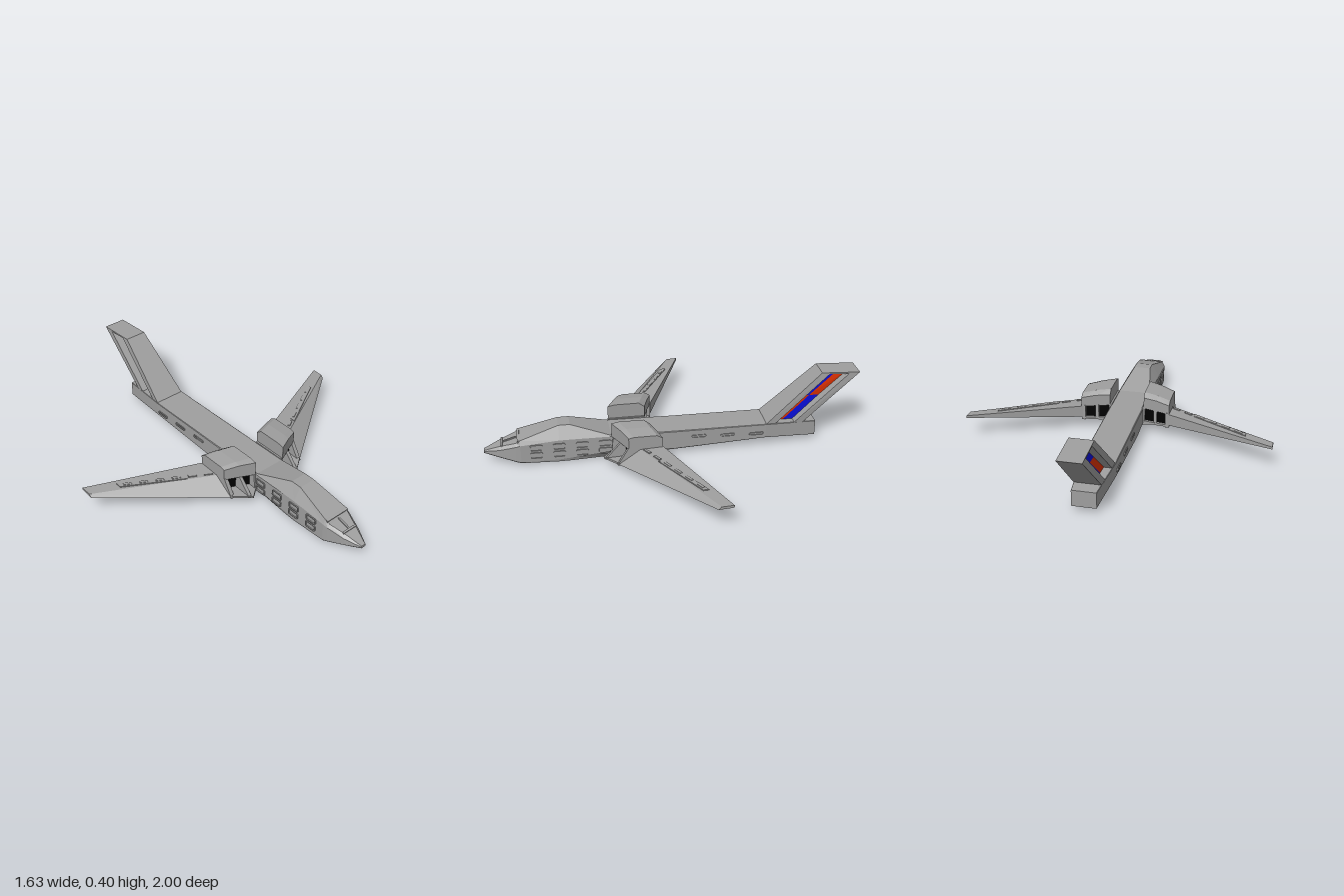
import * as THREE from 'three';

const GREY = 0x9f9f9f, BLACK = 0x000000, RED = 0xe23200, BLUE = 0x0a10e0;
const mats = {};
const mat = (color) => (mats[color] ??= new THREE.MeshStandardMaterial({ color, flatShading: true }));
const lerp = THREE.MathUtils.lerp;

// Closed flat-shaded solid through a row of rings, each a list of [x, y, z]
function loft(name, rings, color = GREY) {
  const tris = [], n = rings[0].length;
  for (let r = 0; r < rings.length - 1; r++) {
    for (let i = 0; i < n; i++) {
      const j = (i + 1) % n, a = rings[r], b = rings[r + 1];
      tris.push([a[i], a[j], b[j]], [a[i], b[j], b[i]]);
    }
  }
  const first = rings[0], last = rings[rings.length - 1];
  for (let i = 1; i < n - 1; i++) {
    tris.push([first[0], first[i + 1], first[i]], [last[0], last[i], last[i + 1]]);
  }
  // The signed volume tells whether the faces point outwards
  let volume = 0;
  for (const [a, b, c] of tris) {
    volume += a[0] * (b[1] * c[2] - b[2] * c[1]) + a[1] * (b[2] * c[0] - b[0] * c[2])
      + a[2] * (b[0] * c[1] - b[1] * c[0]);
  }
  const pos = tris.flatMap(([a, b, c]) => (volume < 0 ? [a, c, b] : [a, b, c])).flat();
  const geo = new THREE.BufferGeometry();
  geo.setAttribute('position', new THREE.Float32BufferAttribute(pos, 3));
  geo.computeVertexNormals();
  const mesh = new THREE.Mesh(geo, mat(color));
  mesh.name = name;
  return mesh;
}

function box(name, w, h, d, x, y, z) {
  const mesh = new THREE.Mesh(new THREE.BoxGeometry(w, h, d), mat(GREY));
  mesh.position.set(x, y, z);
  mesh.name = name;
  return mesh;
}

// Thin frame with clipped corners, lying against the side of the hull
function sideFrame(name, w, h, x, y, z) {
  const outline = (a, b, c) => [[a, b - c], [a - c, b], [c - a, b], [-a, b - c], [-a, c - b], [c - a, -b],
    [a - c, -b], [a, c - b]].map(([u, v]) => new THREE.Vector2(u, v));
  const shape = new THREE.Shape(outline(w / 2, h / 2, 0.006));
  shape.holes.push(new THREE.Path(outline(w / 2 - 0.005, h / 2 - 0.005, 0.003)));
  const geo = new THREE.ExtrudeGeometry(shape, { depth: 0.01, bevelEnabled: false });
  geo.translate(0, 0, -0.005).rotateY(Math.PI / 2);
  const mesh = new THREE.Mesh(geo, mat(GREY));
  mesh.position.set(x, y, z);
  mesh.name = name;
  return mesh;
}

// Fuselage stations: z, top half-width, top, side half-width, shoulder, low edge, belly half-width, belly
const STATIONS = [
  [1, 0.012, 0.07, 0.015, 0.066, 0.06, 0.012, 0.056],
  [0.92, 0.036, 0.1, 0.052, 0.085, 0.046, 0.045, 0.04],
  [0.835, 0.064, 0.126, 0.078, 0.11, 0.025, 0.073, 0.02],
  [0.81, 0.07, 0.143, 0.083, 0.118, 0.02, 0.079, 0.014],
  [0.61, 0.046, 0.203, 0.086, 0.135, 0.022, 0.083, 0.009],
  [0.55, 0.046, 0.203, 0.087, 0.136, 0.028, 0.08, 0.008],
  [0.34, 0.085, 0.141, 0.09, 0.136, 0.05, 0.06, 0.004],
  [0.15, 0.086, 0.138, 0.09, 0.134, 0.05, 0.07, 0.015],
  [0, 0.086, 0.136, 0.09, 0.133, 0.036, 0.085, 0.028],
  [-0.49, 0.086, 0.133, 0.088, 0.131, 0.057, 0.086, 0.053],
  [-0.77, 0.06, 0.117, 0.062, 0.115, 0.036, 0.06, 0.033],
];

function fuselage() {
  const g = new THREE.Group();
  g.name = 'fuselage';
  g.add(loft('hull', STATIONS.map(([z, tw, top, sw, sh, low, bw, bot]) => {
    const half = [[tw, top], [sw, sh], [sw, low], [bw, bot]];
    const other = half.map(([x, y]) => [-x, y]).reverse();
    return [...half, ...other].map(([x, y]) => [x, y, z]);
  })));
  for (const s of [1, -1]) {
    // Two rows of cabin windows ahead of the wing
    for (let i = 0; i < 4; i++) {
      const z = 0.73 - i * 0.119;
      const x = s * lerp(0.084, 0.09, (0.81 - z) / 0.47);
      for (const y of [0.1, 0.056]) g.add(sideFrame('cabinWindow', 0.065, 0.036, x, y, z));
    }
    // Long slots along the rear body
    for (let i = 0; i < 3; i++) {
      g.add(sideFrame('rearSlot', 0.08, 0.018, s * 0.0885, 0.095 - i * 0.007, -0.125 - i * 0.157));
    }
  }
  // Windscreen frame on the nose: brow, sill and centre bar
  for (const [name, w, d, y, z] of [
    ['windscreenBrow', 0.14, 0.012, 0.136, 0.818], ['windscreenSill', 0.086, 0.01, 0.105, 0.905],
    ['windscreenBar', 0.01, 0.08, 0.116, 0.868],
  ]) {
    const part = box(name, w, 0.012, d, 0, y, z);
    part.rotation.x = 0.3;
    g.add(part);
  }
  return g;
}

// Slab of the swept fin: d runs back from its front edge, t from base to tip
function finSlab(name, d0, d1, t0, t1, inset, color) {
  const ring = (t) => {
    const p = (side, d) => {
      const z = lerp(-0.49, -0.79, t) - d;
      const w = lerp(0.086, 0.06, THREE.MathUtils.clamp((-0.49 - z) / 0.3, 0, 1)) - inset;
      return [side * w, lerp(0.13, 0.4, t) - d * 0.05, z];
    };
    return [p(1, d0), p(1, d1), p(-1, d1), p(-1, d0)];
  };
  return loft(name, [ring(t0), ring(t1)], color);
}

function tailFin() {
  const g = new THREE.Group();
  g.name = 'tailFin';
  g.add(finSlab('finFront', 0, 0.05, -0.03, 1, 0));
  g.add(finSlab('finRear', 0.157, 0.208, -0.03, 1, 0));
  g.add(finSlab('finCap', 0.05, 0.157, 0.97, 1, 0));
  // Recessed chequered stripes
  [[RED, BLUE], [BLUE, RED]].forEach((row, i) => row.forEach((color, j) => {
    const d = 0.05 + j * 0.0535, t = i ? 0.48 : -0.03;
    g.add(finSlab('finStripe', d, d + 0.0535, t, i ? 0.97 : 0.48, 0.042, color));
  }));
  return g;
}

function wing(s) {
  const g = new THREE.Group();
  g.name = s > 0 ? 'leftWing' : 'rightWing';
  // Cross-section given as [z, y] corners at a distance x from the middle
  const at = (x, pts) => pts.map(([z, y]) => [s * x, y, z]);

  g.add(loft('wingPanel', [
    at(0.228, [[0.33, 0.054], [0.215, 0.134], [0.094, 0.14], [0.094, 0.075]]),
    at(0.815, [[-0.08, 0.115], [-0.095, 0.13], [-0.155, 0.133], [-0.155, 0.12]]),
  ]));
  // Floor under the engine duct, coming to a point at the front
  g.add(loft('ductFloor', [
    at(0.06, [[0.335, 0.004], [0.335, 0.045], [0.15, 0.06], [0.15, 0.015]]),
    at(0.09, [[0.34, 0.037], [0.34, 0.052], [0.14, 0.064], [0.14, 0.04]]),
    at(0.15, [[0.388, 0.044], [0.388, 0.056], [0.12, 0.068], [0.12, 0.055]]),
    at(0.235, [[0.325, 0.054], [0.325, 0.064], [0.092, 0.075], [0.092, 0.064]]),
  ]));
  // Dark duct with its intake and exhaust openings
  g.add(loft('engineDuct', [
    at(0.098, [[0.3, 0.045], [0.3, 0.145], [0.155, 0.145], [0.155, 0.05]]),
    at(0.235, [[0.25, 0.06], [0.25, 0.145], [0.11, 0.145], [0.11, 0.065]]),
  ], BLACK));
  // Upright walls between the openings
  for (const [x0, x1, front, top, back] of [
    [0.084, 0.1, 0.34, 0.33, 0.142], [0.153, 0.171, 0.38, 0.295, 0.118], [0.222, 0.243, 0.325, 0.268, 0.092],
  ]) {
    const side = [[front, 0.05], [top, 0.145], [back, 0.145], [back, 0.06]];
    g.add(loft('ductWall', [at(x0, side), at(x1, side)]));
  }
  // Engine hood on top
  g.add(loft('engineHood', [
    at(0.094, [[0.338, 0.138], [0.338, 0.215], [0.3, 0.223], [0.17, 0.223], [0.14, 0.2], [0.14, 0.138]]),
    at(0.17, [[0.3, 0.138], [0.3, 0.212], [0.27, 0.219], [0.145, 0.219], [0.115, 0.2], [0.115, 0.138]]),
    at(0.243, [[0.266, 0.138], [0.266, 0.2], [0.24, 0.207], [0.12, 0.207], [0.09, 0.19], [0.09, 0.138]]),
  ]));
  // Thin flap plate with a row of slots
  const plate = (y) => [[0.375, 0.105], [0.375, 0.135], [0.67, -0.035], [0.67, -0.065]]
    .map(([x, z]) => [s * x, y, z]);
  g.add(loft('flapPlate', [plate(0.13), plate(0.1375)]));
  for (let i = 0; i < 6; i++) {
    const t = i / 5;
    const slot = box('wingSlot', 0.045, 0.008, 0.014, s * lerp(0.27, 0.63, t), 0.1355, lerp(0.175, -0.03, t));
    slot.rotation.y = s * 0.52;
    g.add(slot);
  }
  return g;
}

export function createModel() {
  const model = new THREE.Group();
  model.name = 'aircraft';
  model.add(fuselage(), tailFin(), wing(1), wing(-1));
  return model;
}
